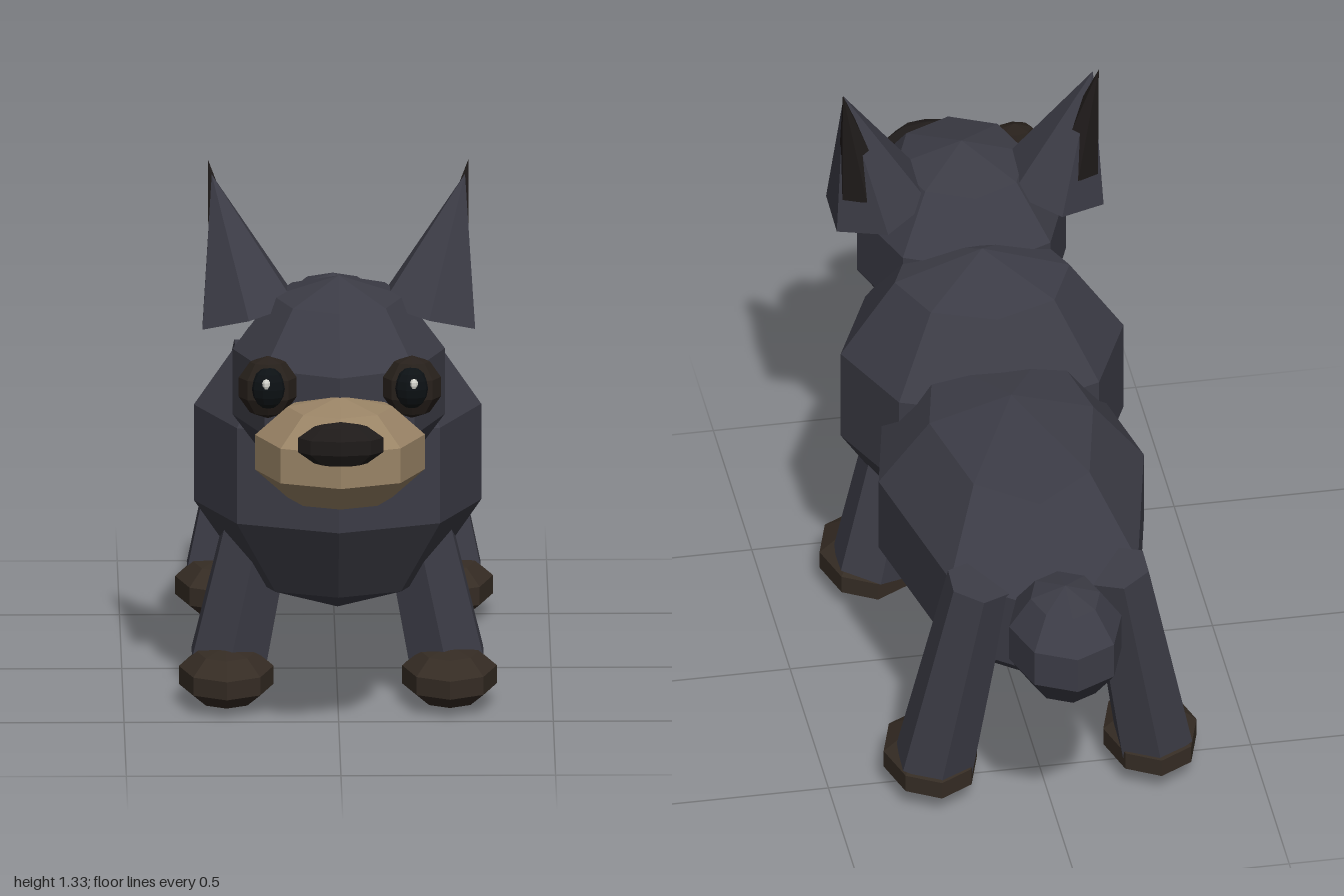
import * as THREE from 'three';

const paint = (color) => new THREE.MeshStandardMaterial({ color, flatShading: true });

export function createModel() {
  const dog = new THREE.Group();
  dog.name = 'dog';
  const fur = paint(0x3c3c46), tan = paint(0x9a8466), paw = paint(0x352c24);
  const noseBlack = paint(0x1f1b1a), eyeRim = paint(0x27201b);
  const eyeBlack = paint(0x0c1114), glint = paint(0xd8d8d0);

  // Faceted ellipsoid at a centre with three radii
  function blob(name, material, center, radii, cols = 8, rows = 5) {
    const mesh = new THREE.Mesh(new THREE.SphereGeometry(1, cols, rows), material);
    mesh.name = name;
    mesh.position.set(...center);
    mesh.scale.set(...radii);
    dog.add(mesh);
  }

  // Six-sided tapered limb or cone between two points
  function limb(name, material, bottom, top, rBottom, rTop) {
    const a = new THREE.Vector3(...bottom), b = new THREE.Vector3(...top);
    const dir = b.clone().sub(a);
    const mesh = new THREE.Mesh(new THREE.CylinderGeometry(rTop, rBottom, dir.length(), 6), material);
    mesh.name = name;
    mesh.position.copy(a).add(b).multiplyScalar(0.5);
    mesh.quaternion.setFromUnitVectors(new THREE.Vector3(0, 1, 0), dir.normalize());
    dog.add(mesh);
  }

  // Trunk, head and tail
  blob('body', fur, [0, 0.5, -0.13], [0.33, 0.3, 0.64]);
  blob('chest', fur, [0, 0.585, 0.25], [0.352, 0.372, 0.33]);
  blob('head', fur, [0, 0.825, 0.52], [0.26, 0.255, 0.295]);
  blob('tail', fur, [0, 0.59, -0.835], [0.14, 0.145, 0.173]);
  blob('muzzle', tan, [0, 0.725, 0.79], [0.208, 0.135, 0.195]);
  blob('nose', noseBlack, [0, 0.785, 0.957], [0.105, 0.055, 0.045]);

  for (const [side, s] of [['left', 1], ['right', -1]]) {
    // Eyes
    blob(side + 'EyeRim', eyeRim, [s * 0.168, 0.873, 0.757], [0.071, 0.075, 0.05]);
    blob(side + 'Eye', eyeBlack, [s * 0.167, 0.878, 0.785], [0.042, 0.05, 0.032], 10, 8);
    blob(side + 'EyeGlint', glint, [s * 0.172, 0.893, 0.812], [0.01, 0.013, 0.008], 6, 5);

    // Ears, with a dark inner cone showing at the tip
    limb(side + 'Ear', fur, [s * 0.208, 0.975, 0.468], [s * 0.295, 1.3, 0.43], 0.13, 0);
    limb(side + 'InnerEar', noseBlack, [s * 0.25, 1.04, 0.435], [s * 0.303, 1.326, 0.397], 0.062, 0);

    // Legs and paws
    limb(side + 'FrontLeg', fur, [s * 0.255, 0.09, 0.27], [s * 0.165, 0.52, 0.285], 0.1, 0.085);
    limb(side + 'BackLeg', fur, [s * 0.26, 0.09, -0.557], [s * 0.165, 0.615, -0.612], 0.096, 0.077);
    blob(side + 'FrontPaw', paw, [s * 0.26, 0.07, 0.33], [0.116, 0.07, 0.163]);
    blob(side + 'BackPaw', paw, [s * 0.26, 0.07, -0.505], [0.116, 0.07, 0.163]);
  }
  return dog;
}
